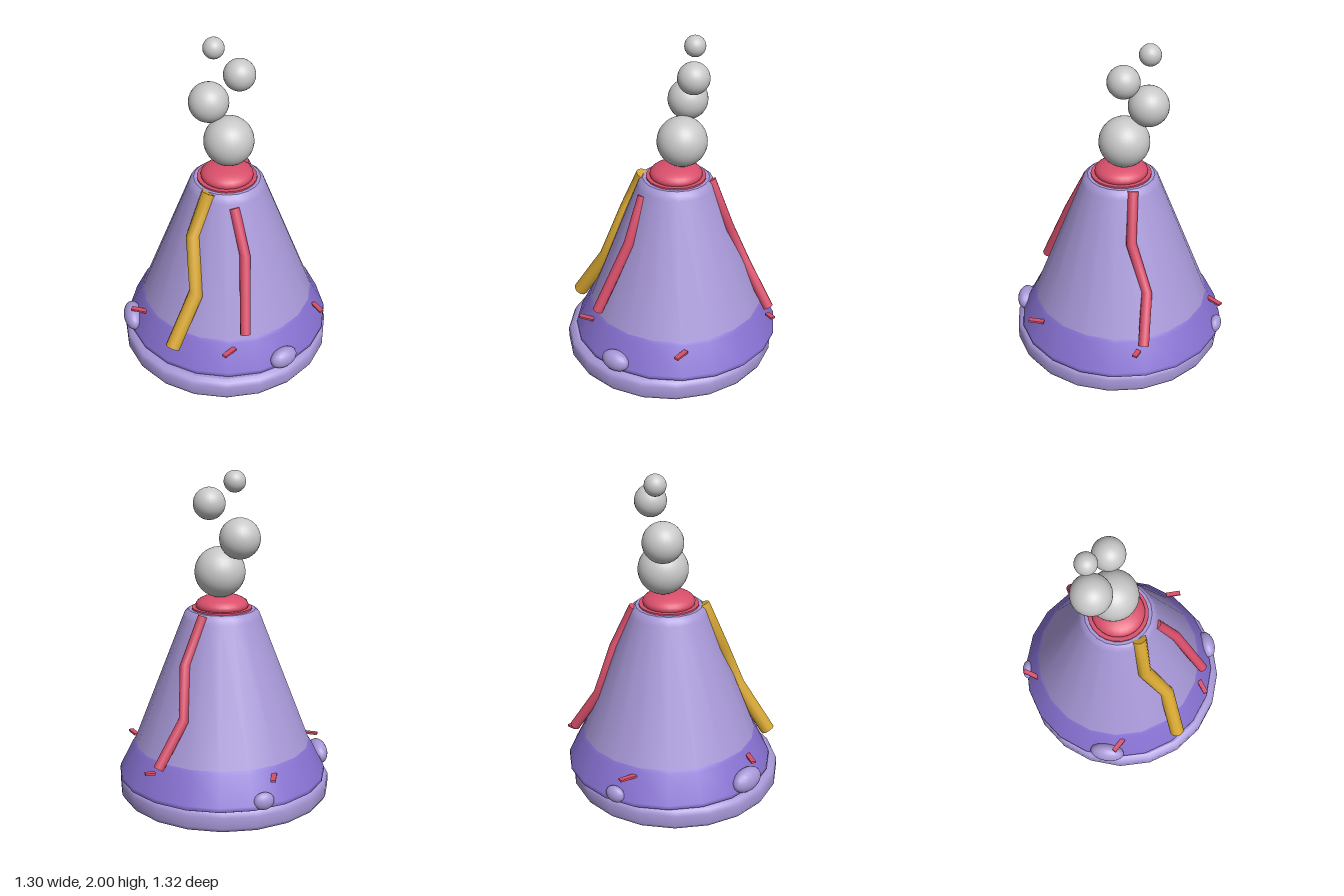
import * as THREE from 'three';

const mat = (name, color) => {
  const m = new THREE.MeshStandardMaterial({ color });
  m.name = name;
  return m;
};

// Open polyline curve, so a tube can bend exactly at its points
class Polyline extends THREE.Curve {
  constructor(points) {
    super();
    this.points = points.map((p) => new THREE.Vector3(...p));
  }
  getPoint(t, target = new THREE.Vector3()) {
    const last = this.points.length - 1;
    const i = Math.min(Math.floor(t * last + 1e-9), last - 1);
    return target.lerpVectors(this.points[i], this.points[i + 1], t * last - i);
  }
  getPointAt(t, target) {
    return this.getPoint(t, target);
  }
}

export function createModel() {
  const model = new THREE.Group();
  model.name = 'volcano';

  const lavender = mat('lavender rock', 0xa898d8);
  const violet = mat('violet rock', 0x8670d0);
  const red = mat('red lava', 0xd94f6b);
  const yellow = mat('yellow lava', 0xd6a632);
  const grey = mat('grey smoke', 0xc8c8c8);

  const add = (name, geometry, material, pos = [0, 0, 0], parent = model) => {
    const mesh = new THREE.Mesh(geometry, material);
    mesh.name = name;
    mesh.position.set(...pos);
    parent.add(mesh);
    return mesh;
  };
  const lathe = (profile) =>
    new THREE.LatheGeometry(profile.map(([r, y]) => new THREE.Vector2(r, y)), 20);

  // Rounded foot; doubled points keep an edge sharp
  add('base', lathe([
    [0, 0], [0.61, 0], [0.61, 0], [0.635, 0.01], [0.65, 0.035], [0.65, 0.1],
    [0.637, 0.127], [0.61, 0.14], [0.61, 0.14], [0, 0.14],
  ]), lavender, [0, 0, 0.012]);

  // Mountain body, its axis set slightly back
  const axisZ = -0.027;
  add('lowerSlope', lathe([
    [0, 0.14], [0.622, 0.14], [0.622, 0.14], [0.635, 0.147], [0.632, 0.17],
    [0.55, 0.332], [0.527, 0.357], [0.527, 0.357], [0.48, 0.357],
  ]), violet, [0, 0, axisZ]);
  add('cone', lathe([
    [0.535, 0.35], [0.234, 1.125], [0.222, 1.155], [0.2, 1.172], [0.2, 1.172], [0, 1.172],
  ]), lavender, [0, 0, axisZ]);

  // Crater lava
  add('lavaPool', new THREE.CylinderGeometry(0.18, 0.18, 0.02, 24), red, [0, 1.172, axisZ]);
  add('lavaDome', new THREE.SphereGeometry(0.158, 24, 16), red, [0, 1.195, axisZ])
    .scale.y = 0.41;

  // Lava streams with closed ends
  const stream = (name, points, radius, material) => {
    const group = new THREE.Group();
    group.name = name;
    model.add(group);
    const curve = new Polyline(points);
    add('flow', new THREE.TubeGeometry(curve, points.length - 1, radius, 10), material, [0, 0, 0], group);
    [0, 1].forEach((t) => {
      const end = curve.getPoint(t);
      const outward = curve.getTangentAt(t).multiplyScalar(t ? 1 : -1);
      const cap = add('flowEnd', new THREE.CircleGeometry(radius, 10), material, end.toArray(), group);
      cap.quaternion.setFromUnitVectors(new THREE.Vector3(0, 0, 1), outward);
    });
  };
  stream('yellowStream', [
    [-0.05, 1.17, 0.165], [-0.12, 0.91, 0.265], [-0.06, 0.6, 0.405], [-0.155, 0.295, 0.58],
  ], 0.045, yellow);
  stream('frontRedStream', [
    [0.105, 1.1, 0.175], [0.2, 0.835, 0.265], [0.265, 0.41, 0.465],
  ], 0.032, red);
  stream('backRedStream', [
    [0.045, 1.165, -0.23], [0.12, 0.89, -0.335], [0.085, 0.6, -0.455], [0.19, 0.34, -0.59],
  ], 0.032, red);

  // Boulders, stretched along the foot of the slope: position, then half sizes
  [
    [[0.48, 0.197, 0.365], [0.092, 0.065, 0.055]],
    [[-0.53, 0.208, 0.29], [0.112, 0.075, 0.06]],
    [[-0.41, 0.19, -0.49], [0.062, 0.052, 0.036]],
  ].forEach(([pos, size]) => {
    const boulder = add('boulder', new THREE.SphereGeometry(1, 16, 12), lavender, pos);
    boulder.scale.set(...size);
    boulder.rotation.y = Math.atan2(pos[0], pos[2]);
  });

  // Flat lava chips: x, z, length, turn
  [
    [-0.465, 0.337, 0.1, 0],
    [0.188, 0.535, 0.095, 1.12],
    [0.6, -0.018, 0.095, -0.75],
    [-0.445, -0.42, 0.105, -1.35],
    [0.24, -0.595, 0.06, 0.55],
  ].forEach(([x, z, length, turn]) => {
    add('lavaChip', new THREE.BoxGeometry(length, 0.013, 0.03), red, [x, 0.308, z])
      .rotation.y = turn;
  });

  // Smoke puffs: x, y, z, radius
  [
    [0, 1.4, -0.062, 0.15],
    [-0.136, 1.61, -0.105, 0.12],
    [0.044, 1.805, -0.122, 0.094],
    [-0.116, 1.938, -0.142, 0.063],
  ].forEach(([x, y, z, r]) => {
    add('smokePuff', new THREE.SphereGeometry(r, 28, 20), grey, [x, y, z]);
  });

  return model;
}
